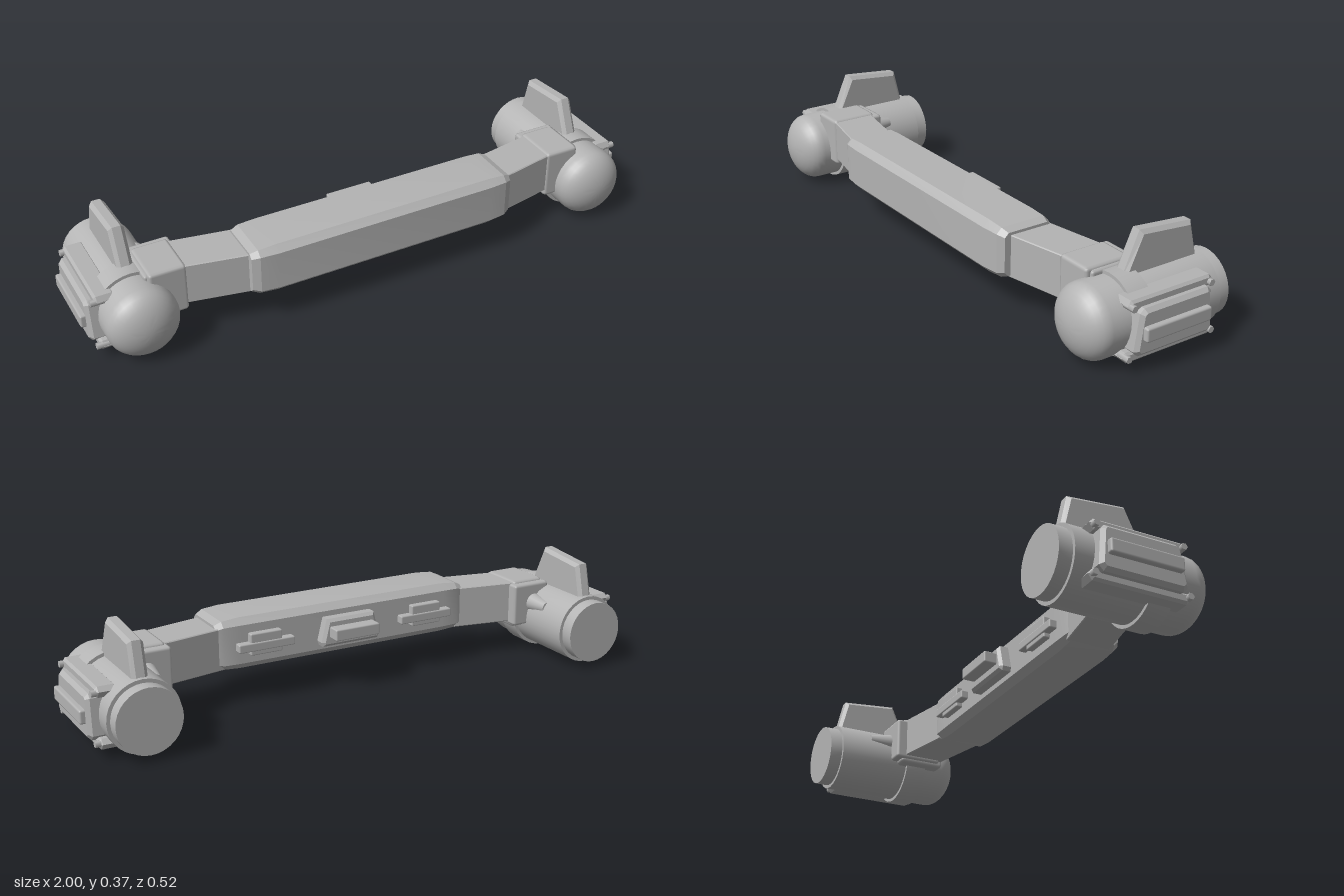
import * as THREE from 'three';
import { toCreasedNormals } from 'three/addons/utils/BufferGeometryUtils.js';
import { RoundedBoxGeometry } from 'three/addons/geometries/RoundedBoxGeometry.js';

const grey = new THREE.MeshStandardMaterial({ color: 0xb4b4b4 });
grey.name = 'plain grey';

// Bevelled extrusion of an outline, kept within the outline and depth
function slab(points, depth, bevel) {
  const shape = new THREE.Shape(points.map(([a, b]) => new THREE.Vector2(a, b)));
  const g = new THREE.ExtrudeGeometry(shape, {
    depth: depth - 2 * bevel, bevelEnabled: bevel > 0, bevelThickness: bevel,
    bevelSize: bevel, bevelOffset: -bevel, bevelSegments: 1,
  });
  return g.translate(0, 0, bevel);
}

// Outline given as [z, y], spanning x0 to x1
const slabX = (points, x0, x1, bevel) =>
  slab(points.map(([z, y]) => [-z, y]).reverse(), x1 - x0, bevel).rotateY(Math.PI / 2).translate(x0, 0, 0);

// Outline given as [x, y], on the back side from z0 rearwards to z1
const slabBack = (points, z0, z1, bevel) => slab(points, z0 - z1, bevel).translate(0, 0, z1);

function block(x0, x1, y0, y1, z0, z1, r = 0.006) {
  return new RoundedBoxGeometry(x1 - x0, y1 - y0, z1 - z0, 1, r)
    .translate((x0 + x1) / 2, (y0 + y1) / 2, (z0 + z1) / 2);
}

// Mirrored copy across x = 0 with the corner order reversed
function mirrored(geometry) {
  const g = geometry.clone().scale(-1, 1, 1);
  const count = g.index ? g.index.count : g.attributes.position.count;
  const index = [];
  for (let i = 0; i < count; i += 3)
    for (const k of [i, i + 2, i + 1]) index.push(g.index ? g.index.getX(k) : k);
  g.setIndex(index);
  return g;
}

// Solid through chamfered rectangles placed along x
function chamferedBeam(sections) {
  const pos = [], index = [];
  for (const [x, y0, y1, z0, z1, c] of sections) {
    const ring = [[y0, z0 + c], [y0 + c, z0], [y1 - c, z0], [y1, z0 + c],
      [y1, z1 - c], [y1 - c, z1], [y0 + c, z1], [y0, z1 - c]];
    for (const [y, z] of ring) pos.push(x, y, z);
  }
  const n = 8, last = (sections.length - 1) * n;
  for (let s = 0; s < last; s += n)
    for (let i = 0; i < n; i++) {
      const j = (i + 1) % n;
      index.push(s + i, s + n + j, s + n + i, s + i, s + j, s + n + j);
    }
  for (let i = 1; i < n - 1; i++) index.push(0, i + 1, i, last, last + i, last + i + 1);
  const g = new THREE.BufferGeometry();
  g.setAttribute('position', new THREE.Float32BufferAttribute(pos, 3));
  g.setIndex(index);
  return toCreasedNormals(g, 0.3);
}

// Turned part about the pod axis, profile as [radius, z]
function turned(profile) {
  const g = new THREE.LatheGeometry(profile.map(([r, z]) => new THREE.Vector2(r, z)), 32);
  return toCreasedNormals(g.rotateX(Math.PI / 2).translate(0.828, 0.131, 0), 0.6);
}

export function createModel() {
  const model = new THREE.Group();
  model.name = 'twinPodBar';
  const add = (parent, name, geometry) => {
    const mesh = new THREE.Mesh(geometry, grey);
    mesh.name = name;
    parent.add(mesh);
  };

  // Central beam with tapered ends
  add(model, 'centralBeam', chamferedBeam([
    [-0.475, 0.13, 0.274, 0.05, 0.222, 0.014], [-0.45, 0.12, 0.285, 0.042, 0.235, 0.018],
    [-0.39, 0.115, 0.29, 0.04, 0.241, 0.022], [0.39, 0.115, 0.29, 0.04, 0.241, 0.022],
    [0.45, 0.12, 0.285, 0.042, 0.235, 0.018], [0.475, 0.13, 0.274, 0.05, 0.222, 0.014],
  ]));

  // Raised panel at the middle of the back
  const panel = new THREE.Group();
  panel.name = 'backPanel';
  model.add(panel);
  add(panel, 'backPanelBase', slabBack(
    [[-0.105, 0.155], [0.105, 0.155], [0.11, 0.17], [0.09, 0.25], [-0.09, 0.25], [-0.11, 0.17]], 0.05, 0.0, 0.01));
  add(panel, 'backPanelBar', block(-0.083, 0.083, 0.185, 0.225, -0.045, 0.02, 0.005));

  // Parts for one side, then mirrored
  const parts = [];
  const part = (name, geometry) => parts.push([name, geometry]);

  // Small latch on the back of the beam
  part('latchPlate', block(0.25, 0.365, 0.165, 0.24, 0.018, 0.05, 0.005));
  part('latchBar', block(0.205, 0.408, 0.18, 0.21, 0.014, 0.05, 0.005));

  // Slanted arm and bracket
  part('arm', chamferedBeam([
    [0.45, 0.122, 0.265, 0.05, 0.205, 0.003], [0.67, 0.122, 0.265, 0.01, 0.16, 0.003]]));
  part('bracket', block(0.665, 0.79, 0.1, 0.271, 0.0, 0.165, 0.012));
  part('bracketFlange', block(0.655, 0.80, 0.112, 0.262, -0.024, 0.15, 0.01));

  // Pod: rear cap, body and dome in one profile
  const profile = [[0, -0.262], [0.107, -0.262], [0.107, -0.218], [0.119, -0.218], [0.119, 0.185]];
  for (let i = 1; i <= 8; i++) {
    const a = (i / 8) * Math.PI / 2;
    profile.push([i === 8 ? 0 : 0.119 * Math.cos(a), 0.185 + 0.077 * Math.sin(a)]);
  }
  part('pod', turned(profile));
  part('podBand', turned([[0.11, 0.037], [0.13, 0.037], [0.13, 0.112], [0.11, 0.112]]));

  // Half-round stub behind the bracket
  part('podStub', new THREE.CylinderGeometry(0.034, 0.02, 0.085, 16)
    .rotateX(Math.PI / 2).translate(0.74, 0.19, -0.06));

  // Upright fin
  part('fin', slabX([[0.018, 0.376], [-0.177, 0.358], [-0.206, 0.235], [0.08, 0.235]], 0.802, 0.854, 0.012));

  // Outer panel, bar, rails and bolts
  part('sidePanel', slabX([[0.1, 0.205], [-0.138, 0.205], [-0.15, 0.192], [-0.16, 0.075],
    [-0.145, 0.058], [0.117, 0.058], [0.133, 0.075], [0.115, 0.192]], 0.89, 0.982, 0.012));
  part('sideBar', block(0.95, 1.0, 0.108, 0.154, -0.136, 0.109, 0.007));
  part('upperRail', slabX([[0.133, 0.23], [-0.16, 0.23], [-0.173, 0.215], [-0.16, 0.194],
    [0.125, 0.194], [0.143, 0.212]], 0.89, 0.957, 0.008));
  part('lowerRail', slabX([[0.145, 0.068], [-0.17, 0.068], [-0.183, 0.052], [-0.17, 0.033],
    [0.14, 0.033], [0.155, 0.05]], 0.89, 0.957, 0.008));
  for (const [z, y] of [[0.132, 0.21], [-0.158, 0.21], [0.144, 0.053], [-0.168, 0.053]])
    part('railBolt', new THREE.CylinderGeometry(0.011, 0.011, 0.045, 6).toNonIndexed()
      .rotateZ(Math.PI / 2).translate(0.947, y, z));

  for (const side of ['left', 'right']) {
    const group = new THREE.Group();
    group.name = side + 'Assembly';
    for (const [name, g] of parts) add(group, name, side === 'left' ? g : mirrored(g));
    model.add(group);
  }
  return model;
}
